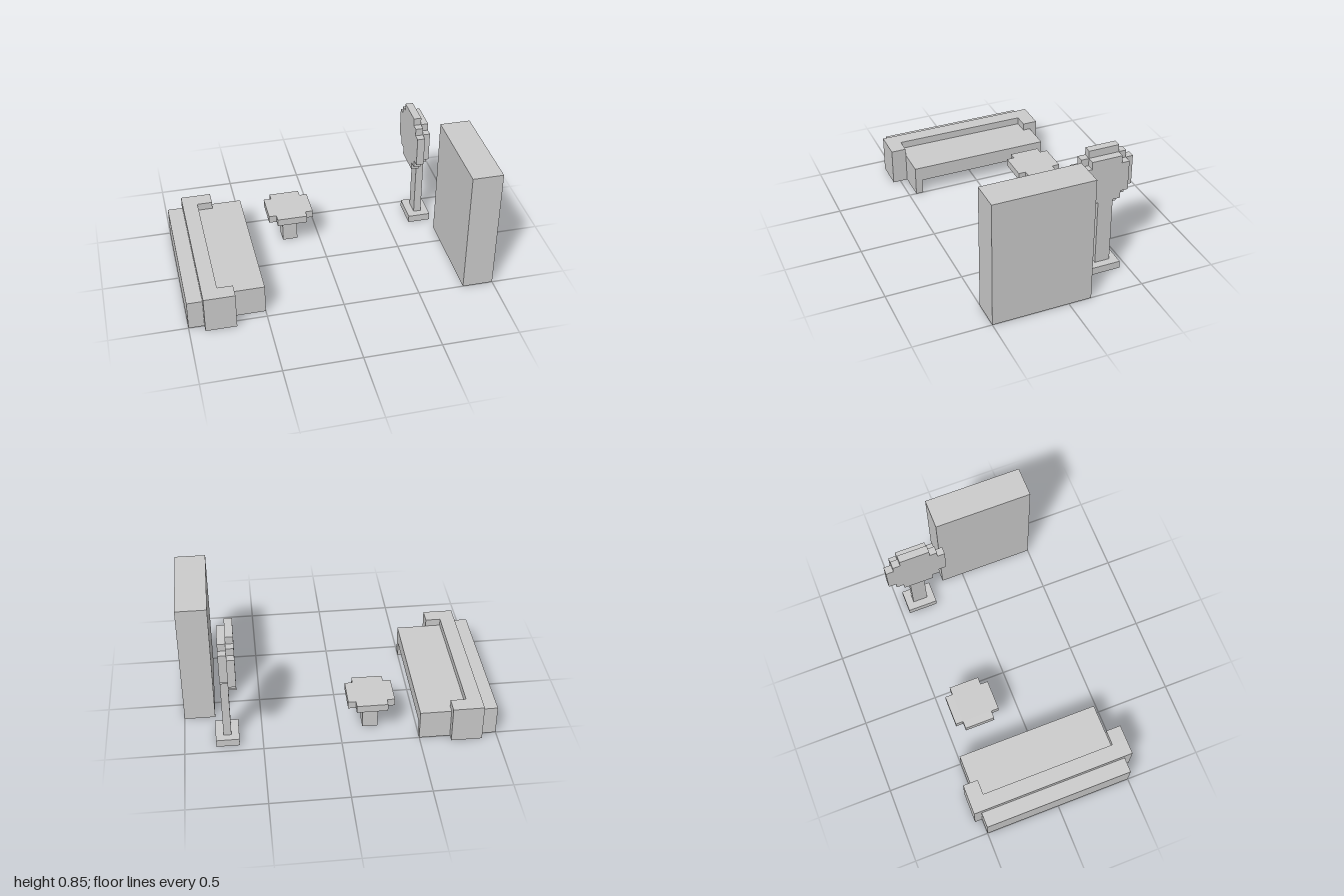
import * as THREE from 'three';

const material = new THREE.MeshStandardMaterial({ color: 0xcccccc, flatShading: true });

// Box given by its extents along x, y and z
function block(parent, name, [x0, x1], [y0, y1], [z0, z1]) {
  const mesh = new THREE.Mesh(new THREE.BoxGeometry(x1 - x0, y1 - y0, z1 - z0), material);
  mesh.name = name;
  mesh.position.set((x0 + x1) / 2, (y0 + y1) / 2, (z0 + z1) / 2);
  parent.add(mesh);
  return mesh;
}

// Stepped outline from half-width / half-height pairs, listed from wide to narrow
function steppedShape(steps) {
  const quarter = [];
  steps.forEach(([w, h], i) => {
    if (i > 0) quarter.push([w, steps[i - 1][1]]);
    quarter.push([w, h]);
  });
  const back = [...quarter].reverse();
  const points = [
    ...quarter,
    ...back.map(([w, h]) => [-w, h]),
    ...quarter.map(([w, h]) => [-w, -h]),
    ...back.map(([w, h]) => [w, -h]),
  ];
  return new THREE.Shape(points.map(([x, y]) => new THREE.Vector2(x, y)));
}

function steppedSlab(parent, name, steps, thickness) {
  const geometry = new THREE.ExtrudeGeometry(steppedShape(steps), { depth: thickness, bevelEnabled: false });
  const mesh = new THREE.Mesh(geometry, material);
  mesh.name = name;
  parent.add(mesh);
  return mesh;
}

function group(parent, name) {
  const g = new THREE.Group();
  g.name = name;
  parent.add(g);
  return g;
}

export function createModel() {
  const model = new THREE.Group();
  model.name = 'furnitureSet';

  // Sofa: raised back and arms, low ledge behind, seat hollow underneath
  const sofa = group(model, 'sofa');
  block(sofa, 'rearLedge', [-1, -0.9], [0, 0.2], [-0.5, 0.5]);
  block(sofa, 'backrest', [-0.9, -0.8], [0, 0.25], [-0.55, 0.55]);
  block(sofa, 'armrest', [-0.8, -0.7], [0, 0.25], [0.45, 0.55]);
  block(sofa, 'armrest', [-0.8, -0.7], [0, 0.25], [-0.55, -0.45]);
  block(sofa, 'seatBase', [-0.8, -0.75], [0, 0.2], [-0.45, 0.45]);
  block(sofa, 'seat', [-0.75, -0.5], [0.1, 0.2], [-0.5, 0.45]);
  block(sofa, 'seatSupport', [-0.75, -0.5], [0, 0.1], [0.4, 0.45]);
  block(sofa, 'seatSupport', [-0.75, -0.5], [0, 0.1], [-0.5, -0.45]);

  // Small pedestal table
  const table = group(model, 'table');
  block(table, 'tableLeg', [-0.25, -0.15], [0, 0.2], [-0.35, -0.25]);
  const top = steppedSlab(table, 'tableTop', [[0.15, 0.1], [0.1, 0.15]], 0.05);
  top.rotation.x = -Math.PI / 2;
  top.position.set(-0.2, 0.2, -0.3);

  // Standing disc on a pole, two stepped layers
  const stand = group(model, 'standingDisc');
  block(stand, 'standBase', [0.65, 0.8], [0, 0.05], [-0.45, -0.25]);
  block(stand, 'standPole', [0.7, 0.75], [0.05, 0.5], [-0.4, -0.3]);
  const layers = [
    ['discBack', 0.65, [[0.2, 0.1], [0.15, 0.15], [0.1, 0.2]]],
    ['discFront', 0.7, [[0.15, 0.1], [0.1, 0.15]]],
  ];
  for (const [name, x, steps] of layers) {
    const disc = steppedSlab(stand, name, steps, 0.05);
    disc.rotation.y = Math.PI / 2;
    disc.position.set(x, 0.65, -0.35);
  }

  // Tall cabinet
  block(model, 'cabinet', [0.8, 1], [0, 0.85], [-0.15, 0.5]);

  return model;
}
